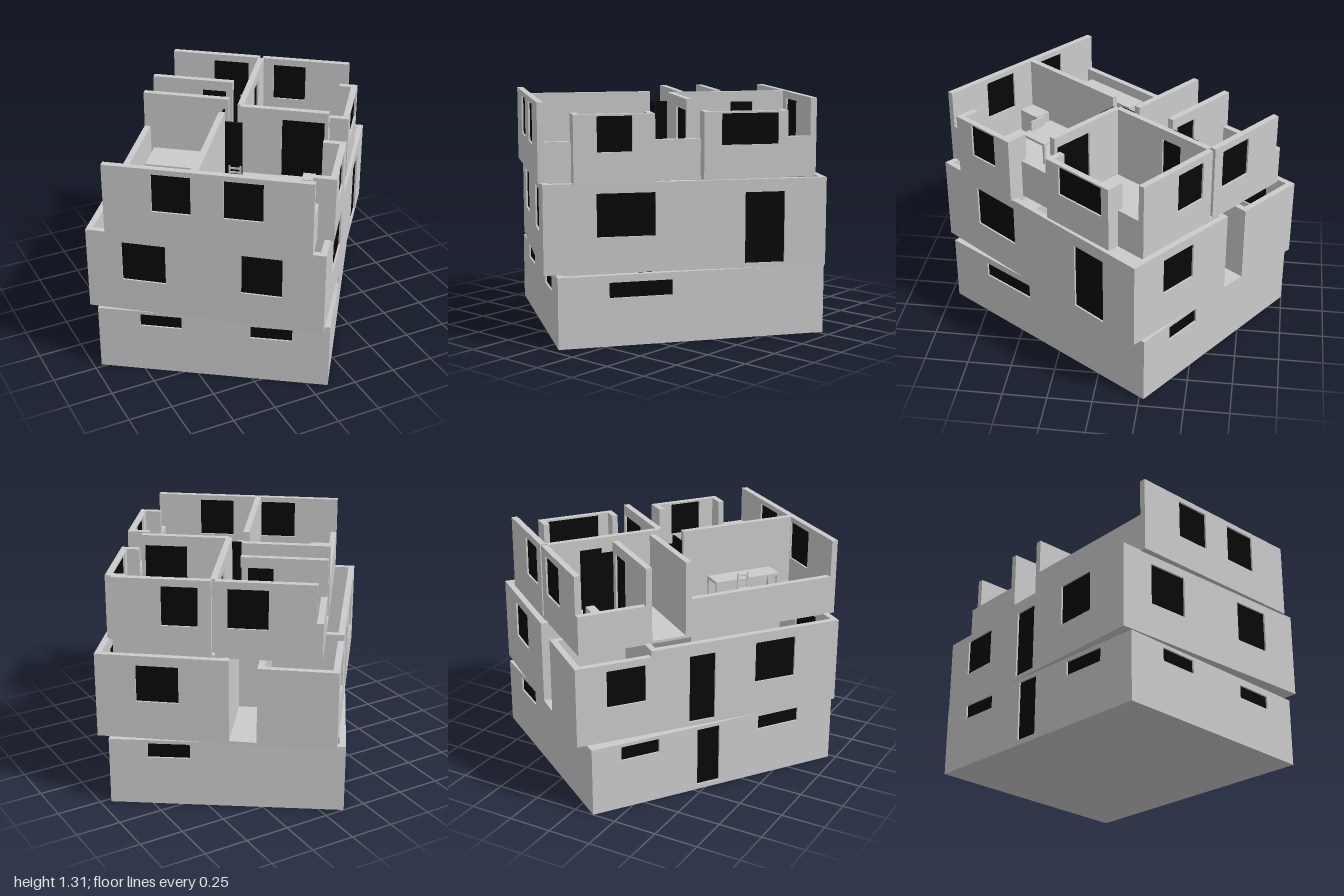
import * as THREE from 'three';

const T = 0.035; // wall thickness
const grey = new THREE.MeshStandardMaterial({ color: 0xcccccc });
const black = new THREE.MeshStandardMaterial({ color: 0x080808 });

function box(parent, name, x0, x1, y0, y1, z0, z1, mat = grey) {
  const m = new THREE.Mesh(new THREE.BoxGeometry(x1 - x0, y1 - y0, z1 - z0), mat);
  m.position.set((x0 + x1) / 2, (y0 + y1) / 2, (z0 + z1) / 2);
  m.name = name;
  parent.add(m);
  return m;
}

// Wall along 'x' or 'z', centred on coordinate c; openings are [from, to, bottom, top]
function wall(parent, name, axis, c, a, b, y0, y1, openings = []) {
  const rect = (P, x0, x1, lo, hi) =>
    new P().moveTo(x0, lo).lineTo(x1, lo).lineTo(x1, hi).lineTo(x0, hi).closePath();
  const shape = rect(THREE.Shape, a, b, y0, y1);
  const g = new THREE.Group();
  g.name = name;
  for (const [x0, x1, lo, hi] of openings) {
    shape.holes.push(rect(THREE.Path, x0, x1, lo, hi));
    box(g, 'pane', x0, x1, lo, hi, T * 0.3, T * 0.7, black);
  }
  g.add(new THREE.Mesh(new THREE.ExtrudeGeometry(shape, { depth: T, bevelEnabled: false }), grey));
  if (axis === 'x') g.position.z = c - T / 2;
  else {
    g.rotation.y = -Math.PI / 2;
    g.position.x = c + T / 2;
  }
  parent.add(g);
}

function storey(parent, name, degrees, x, z) {
  const g = new THREE.Group();
  g.name = name;
  g.rotation.y = -THREE.MathUtils.degToRad(degrees);
  g.position.set(x, 0, z);
  parent.add(g);
  return g;
}

// Table or bed frame: a top on four legs
function table(parent, name, x0, x1, z0, z1, floor, h) {
  const g = new THREE.Group();
  g.name = name;
  box(g, 'top', x0, x1, floor + h - 0.015, floor + h, z0, z1);
  for (const x of [x0, x1 - 0.015])
    for (const z of [z0, z1 - 0.015]) box(g, 'leg', x, x + 0.015, floor, floor + h - 0.015, z, z + 0.015);
  parent.add(g);
}

function chair(parent, x, z, floor, turn) {
  const g = new THREE.Group();
  g.name = 'chair';
  table(g, 'seat', -0.035, 0.035, -0.035, 0.035, 0, 0.08);
  for (const s of [-0.035, 0.027]) box(g, 'backPost', s, s + 0.008, 0.08, 0.17, -0.035, -0.027);
  for (let i = 0; i < 3; i++) box(g, 'backSlat', -0.03, 0.03, 0.1 + i * 0.025, 0.11 + i * 0.025, -0.035, -0.028);
  g.position.set(x, floor, z);
  g.rotation.y = turn;
  parent.add(g);
}

function buildBasement(model) {
  const f = storey(model, 'basement', 34.4, -0.0075, -0.022);
  const U = 0.642, W = 0.746, h = T / 2, top = 0.39;
  box(f, 'basementFloor', -U, U, 0, 0.015, -W, W);
  wall(f, 'frontWall', 'x', W - h, -U, U, 0, top, [[-0.406, -0.175, 0.295, 0.37], [0.206, 0.437, 0.275, 0.35]]);
  wall(f, 'backWall', 'x', -W + h, -U, U, 0, top, [[0.2, 0.43, 0.285, 0.37]]);
  wall(f, 'leftWall', 'z', U - h, -W + T, W - T, 0, top, [[0.118, 0.467, 0.265, 0.35]]);
  wall(f, 'rightWall', 'z', -U + h, -W + T, W - T, 0, top,
    [[-0.575, -0.35, 0.29, 0.37], [-0.117, 0.02, 0.03, 0.37], [0.265, 0.52, 0.29, 0.37]]);
}

function buildMiddle(model) {
  const f = storey(model, 'middleStorey', 37.9, -0.0025, -0.014);
  const U = 0.65, W = 0.773, h = T / 2, lo = 0.4, top = 0.885, low = 0.85;
  box(f, 'middleFloor', -U, U, lo, lo + 0.015, -W, W);
  wall(f, 'frontWall', 'x', W - h, -U, U, lo, top, [[-0.454, -0.213, 0.595, 0.83], [0.199, 0.421, 0.595, 0.83]]);
  wall(f, 'backWall', 'x', -W + h, -0.07, U, lo, top, [[0.2, 0.43, 0.62, 0.83]]);
  wall(f, 'leftWall', 'z', U - h, -W + T, W - T, lo, top, [[0.172, 0.488, 0.595, 0.83], [-0.54, -0.32, 0.425, 0.815]]);
  wall(f, 'rightWall', 'z', -U + h, -0.33, W - T, lo, top, [[-0.127, 0.024, 0.425, 0.815], [0.265, 0.505, 0.595, 0.83]]);
  wall(f, 'recessWall', 'z', -0.07 + h, -W + T, -0.33, lo, top);
  wall(f, 'innerBackWall', 'x', -0.33, -U, -0.07 + T, lo, top);
  // Lower corner room beside the recess
  wall(f, 'cornerBackWall', 'x', -W + h, -U, -0.22, lo, low);
  wall(f, 'cornerOuterWall', 'z', -U + h, -W + T, -0.345, lo, low, [[-0.6, -0.38, 0.6, 0.81]]);
  wall(f, 'cornerInnerWall', 'z', -0.22 - h, -W + T, -0.345, lo, low);
  // Partitions
  wall(f, 'partition', 'z', 0, 0.05, W - T, lo, 0.87);
  wall(f, 'partition', 'x', 0.05, -0.3, U - T, lo, 0.87);
}

function buildTop(model) {
  const f = storey(model, 'topStorey', 36.9, 0, 0);
  const U = 0.555, B = -0.74, F = 0.79, h = T / 2, lo = 0.88, low = 1.1, top = 1.31, fl = 0.895;
  box(f, 'topFloor', -U, U, lo, fl, B, F);
  wall(f, 'frontWall', 'x', F - h, -U, U, lo, top, [[-0.293, -0.086, 1.06, 1.28], [0.089, 0.295, 1.06, 1.28]]);
  wall(f, 'backWallLeft', 'x', B + h, 0.03, U, lo, top, [[0.1, 0.294, 1.05, 1.27]]);
  wall(f, 'backWallRight', 'x', B + h, -U + T, 0.01, lo, top, [[-0.27, -0.056, 1.05, 1.27]]);
  // Low parapets on both long sides
  wall(f, 'rightParapet', 'z', -U + h, -0.11, F - T, lo, low);
  wall(f, 'rightParapet', 'z', -U + h, B, -0.34, lo, low);
  for (const [a, b] of [[0.61, F - T], [-0.09, 0.18], [B + T, -0.56]])
    wall(f, 'leftParapet', 'z', U - h, a, b, lo, low);
  // Projecting window bays
  for (const [x, a, b, w0, w1, sill] of [[0.645, 0.18, 0.613, 0.3, 0.488, 1.05], [0.625, -0.558, -0.093, -0.505, -0.19, 1.07]]) {
    const bay = new THREE.Group();
    bay.name = 'windowBay';
    box(bay, 'bayFloor', U - T, x, lo, fl, a, b);
    wall(bay, 'bayFront', 'z', x - h, a, b, lo, 1.25, [[w0, w1, sill, 1.24]]);
    for (const z of [a + h, b - h]) wall(bay, 'baySide', 'x', z, U - T, x - T, lo, 1.25);
    f.add(bay);
  }
  // Room partitions with doors
  wall(f, 'corridorWall', 'x', -0.34, -U, -0.08, lo, top, [[-0.26, -0.12, fl, 1.25]]);
  wall(f, 'corridorWall', 'x', -0.11, -U, -0.06, lo, top);
  wall(f, 'bedroomSideWall', 'z', 0.02, B + T, -0.04, lo, top, [[-0.52, -0.39, fl, 1.25]]);
  wall(f, 'bedroomWall', 'x', -0.035, 0.02, U - T, lo, top, [[0.26, 0.5, fl, 1.25]]);
  wall(f, 'studyWall', 'z', -0.065, 0.07, F - T, lo, top);
  box(f, 'studyDoor', -0.06, 0.05, fl, 1.25, 0.06, 0.07, black);
  box(f, 'sideRoomDoor', -0.09, -0.08, fl, 1.25, -0.1, 0.03, black);
  box(f, 'backRoomDoor', -0.085, -0.075, fl, 1.25, -0.54, -0.35, black);

  // Bedroom
  box(f, 'bed', 0.24, 0.555, fl, 0.97, -0.52, -0.17);
  box(f, 'nightstand', 0.38, 0.5, fl, 0.98, -0.67, -0.58);
  // Side room
  box(f, 'sideBed', -0.5, -0.22, fl, 0.97, -0.08, 0.13);
  box(f, 'cabinet', -U + T, -0.4, fl, 1.04, 0.28, 0.72);
  table(f, 'sideDesk', -0.21, -0.09, 0.22, 0.62, fl, 0.13);
  chair(f, -0.25, 0.38, fl, -Math.PI / 2);
  // Study
  table(f, 'studyDesk', 0.02, 0.25, 0.33, 0.52, fl, 0.13);
  chair(f, 0.04, 0.26, fl, 0);
  box(f, 'shelf', -0.04, 0.06, fl, 1.03, 0.6, 0.74);
  box(f, 'screen', 0.1, 0.2, 1.03, 1.09, 0.49, 0.5);
  box(f, 'bayCabinet', 0.5, 0.61, fl, 0.99, 0.22, 0.57);
  box(f, 'stool', 0.4, 0.47, fl, 0.97, 0.06, 0.14);
  // Back room
  box(f, 'bathtub', -0.51, -0.38, fl, 0.98, -0.69, -0.4);
  box(f, 'bench', -0.33, -0.15, fl, 0.98, -0.55, -0.5);
}

export function createModel() {
  const model = new THREE.Group();
  model.name = 'house';
  buildBasement(model);
  buildMiddle(model);
  buildTop(model);
  return model;
}
